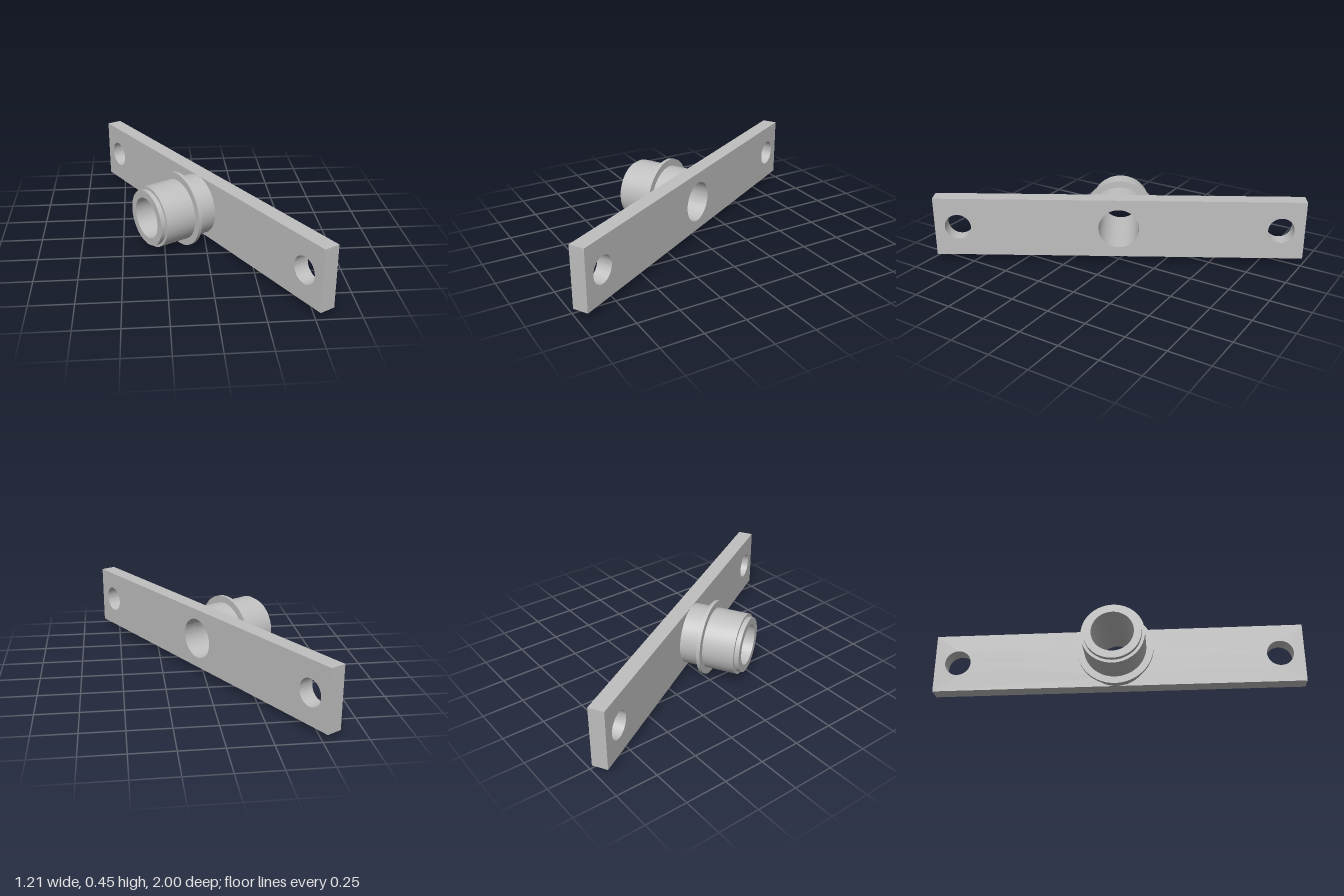
import * as THREE from 'three';
import { toCreasedNormals } from 'three/addons/utils/BufferGeometryUtils.js';

const LENGTH = 2.255, HEIGHT = 0.371, THICK = 0.094;
const BORE = 0.1235, BOLT = 0.08, BOLT_X = 0.985;

export function createModel() {
  const steel = new THREE.MeshStandardMaterial({ color: 0xbfbfbf });
  steel.name = 'grey steel';

  const model = new THREE.Group();
  model.name = 'flangedBushing';
  const add = (name, geometry) => {
    const mesh = new THREE.Mesh(toCreasedNormals(geometry, 0.5), steel);
    mesh.name = name;
    model.add(mesh);
  };

  // Mounting plate with a central bore and two bolt holes
  const outline = new THREE.Shape([
    new THREE.Vector2(-LENGTH / 2, -HEIGHT / 2),
    new THREE.Vector2(LENGTH / 2, -HEIGHT / 2),
    new THREE.Vector2(LENGTH / 2, HEIGHT / 2),
    new THREE.Vector2(-LENGTH / 2, HEIGHT / 2),
  ]);
  for (const [x, r] of [[-BOLT_X, BOLT], [0, BORE], [BOLT_X, BOLT]]) {
    outline.holes.push(new THREE.Path().absarc(x, 0, r, 0, Math.PI * 2, true));
  }
  const plate = new THREE.ExtrudeGeometry(outline, { depth: THICK, bevelEnabled: false, curveSegments: 64 });
  plate.translate(0, 0, -THICK / 2);
  add('mountingPlate', plate);

  // Hollow sleeve: collar ring near the plate, stepped lip at the open end
  const profile = [
    [0.185, THICK / 2], [0.185, 0.167], [0.2265, 0.167], [0.2265, 0.188],
    [0.185, 0.188], [0.185, 0.381], [0.168, 0.381], [0.168, 0.409],
    [BORE, 0.409], [BORE, THICK / 2],
  ].map(([r, d]) => new THREE.Vector2(r, d));
  const sleeve = new THREE.LatheGeometry(profile, 64);
  sleeve.rotateX(Math.PI / 2);
  add('sleeve', sleeve);

  // Stand on the collar's rim, turned sideways
  model.rotation.y = -Math.PI / 3;
  model.position.y = 0.2265;
  const root = new THREE.Group();
  root.name = 'bracket';
  root.add(model);
  return root;
}
